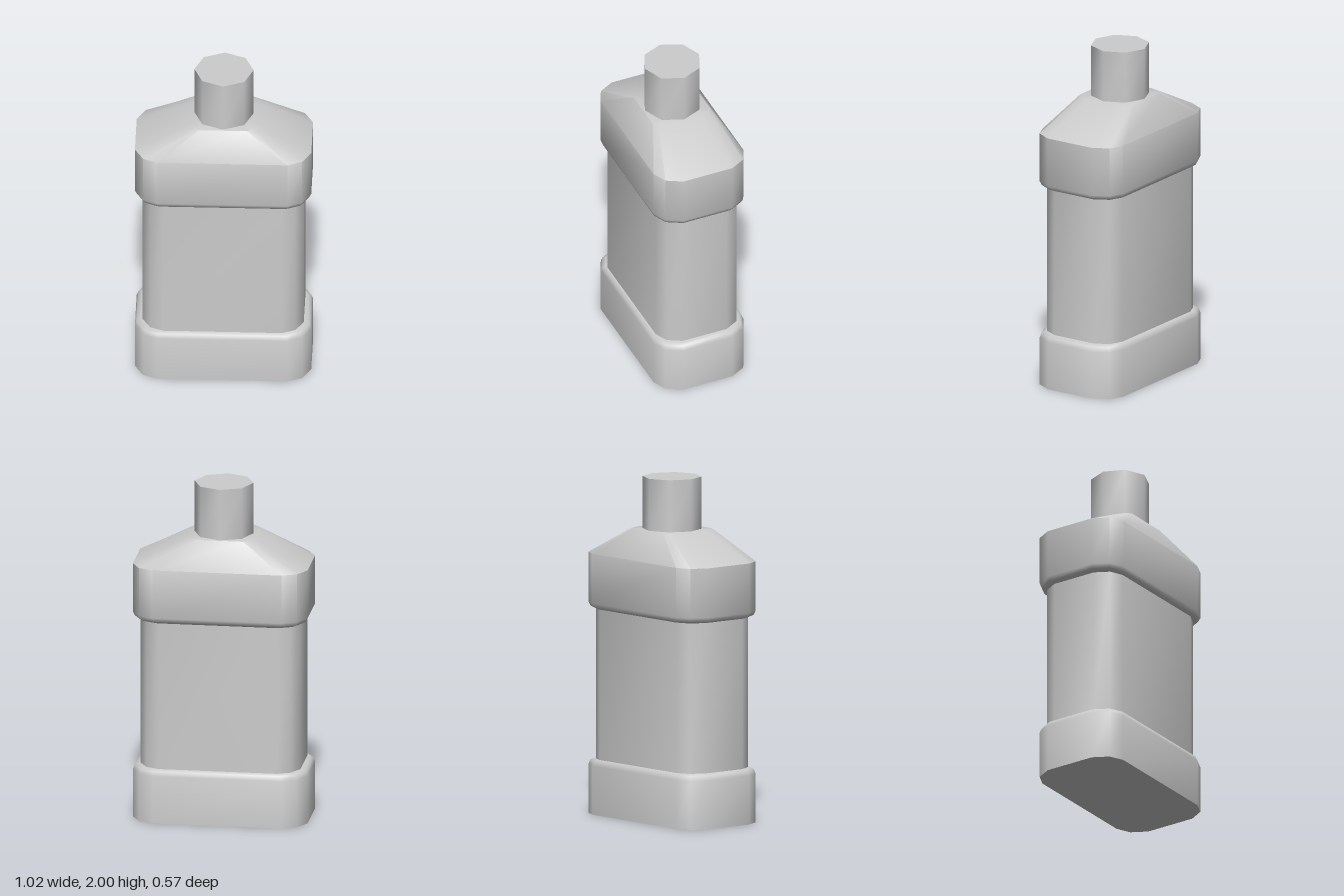
import * as THREE from 'three';
import { toCreasedNormals } from 'three/addons/utils/BufferGeometryUtils.js';

// One quarter of the chamfered outline, mirrored into a full ring from +x towards +z
const quarter = [[0.512, 0.155], [0.462, 0.247], [0.378, 0.285]];
const half = [...quarter, ...quarter.map(([x, z]) => [-x, z]).reverse()];
const outline = [...half, ...half.map(([x, z]) => [-x, -z])];

// Closed loft through levels of [y, half width, half depth]
function loft(levels) {
  const n = outline.length, pos = [], index = [];
  for (const [y, w, d] of levels) {
    for (const [x, z] of outline) pos.push(x * w / 0.512, y, z * d / 0.285);
  }
  const top = (levels.length - 1) * n;
  const bottomCentre = pos.length / 3, topCentre = bottomCentre + 1;
  pos.push(0, levels[0][0], 0, 0, levels[levels.length - 1][0], 0);
  for (let i = 0; i < n; i++) {
    const j = (i + 1) % n;
    for (let r = 0; r < top; r += n) {
      index.push(r + i, r + n + i, r + j, r + j, r + n + i, r + n + j);
    }
    index.push(bottomCentre, i, j, topCentre, top + j, top + i);
  }
  const geometry = new THREE.BufferGeometry();
  geometry.setAttribute('position', new THREE.Float32BufferAttribute(pos, 3));
  geometry.setIndex(index);
  return toCreasedNormals(geometry, 0.9);
}

export function createModel() {
  const group = new THREE.Group();
  const grey = new THREE.MeshStandardMaterial({ color: 0xcccccc });
  grey.name = 'light grey';

  function add(name, geometry) {
    const mesh = new THREE.Mesh(geometry, grey);
    mesh.name = name;
    group.add(mesh);
    return mesh;
  }

  // Wide foot with a softened upper rim
  add('base', loft([
    [0, 0.512, 0.285], [0.285, 0.512, 0.285], [0.312, 0.502, 0.277], [0.322, 0.482, 0.265],
  ]));

  // Recessed straight middle
  add('body', loft([[0.31, 0.468, 0.257], [1.22, 0.468, 0.257]]));

  // Overhanging shoulder sloping up to the neck
  add('shoulder', loft([
    [1.205, 0.478, 0.263], [1.215, 0.5, 0.277], [1.24, 0.512, 0.285],
    [1.53, 0.512, 0.285], [1.695, 0.19, 0.183],
  ]));

  // Eight-sided cap with points on the axes
  const cap = add('cap', toCreasedNormals(new THREE.CylinderGeometry(0.172, 0.172, 0.32, 8), 0.9));
  cap.position.y = 1.84;

  return group;
}
